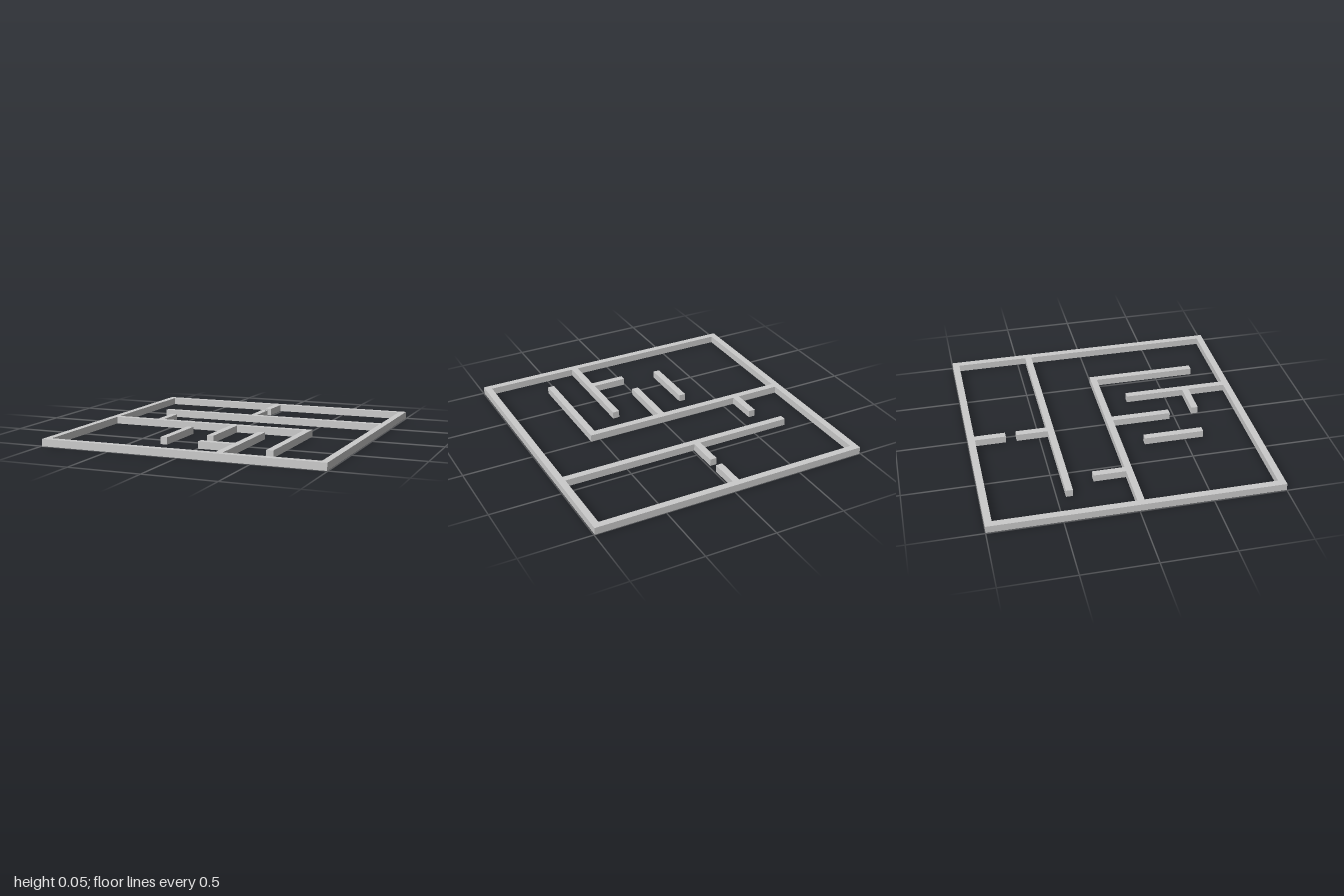
import * as THREE from 'three';

const HEIGHT = 0.05;
const T = 0.048; // wall thickness
const X = 0.995; // outer half width
const Z = 1; // outer half depth

export function createModel() {
  const model = new THREE.Group();
  model.name = 'floorPlanWalls';
  const material = new THREE.MeshStandardMaterial({ color: 0xcccccc, flatShading: true });

  // Wall standing on the ground, given by its plan rectangle
  const wall = (name, x0, x1, z0, z1) => {
    const mesh = new THREE.Mesh(new THREE.BoxGeometry(x1 - x0, HEIGHT, z1 - z0), material);
    mesh.position.set((x0 + x1) / 2, HEIGHT / 2, (z0 + z1) / 2);
    mesh.name = name;
    model.add(mesh);
  };
  const wallAlongX = (name, z, x0, x1) => wall(name, x0, x1, z - T / 2, z + T / 2);
  const wallAlongZ = (name, x, z0, z1) => wall(name, x - T / 2, x + T / 2, z0, z1);

  // Outer frame: one outline with a rectangular opening
  const rectangle = (path, hx, hz) =>
    path.moveTo(-hx, -hz).lineTo(hx, -hz).lineTo(hx, hz).lineTo(-hx, hz).closePath();
  const outline = new THREE.Shape();
  rectangle(outline, X, Z);
  const opening = new THREE.Path();
  rectangle(opening, X - T, Z - T);
  outline.holes.push(opening);
  const frame = new THREE.ExtrudeGeometry(outline, { depth: HEIGHT, bevelEnabled: false });
  frame.rotateX(-Math.PI / 2);
  const outerWalls = new THREE.Mesh(frame, material);
  outerWalls.name = 'outerWalls';
  model.add(outerWalls);

  // Back rooms, with a doorway between the two divider pieces
  wallAlongX('backPartition', -0.415, -0.75, X - T);
  wallAlongZ('backDividerOuter', -0.036, -Z + T, -0.735);
  wallAlongZ('backDividerInner', -0.036, -0.66, -0.415 - T / 2);

  // Middle partition with its branches
  const midZ = 0.018;
  const midEnd = 0.568;
  wallAlongX('middlePartition', midZ, -X + T, midEnd);
  wallAlongZ('corridorStub', -0.606, -0.228, midZ - T / 2);
  wallAlongZ('middleDivider', -0.005, midZ + T / 2, 0.462);
  wallAlongZ('sidePartition', midEnd - T / 2, midZ + T / 2, 0.777);

  // Front rooms
  wallAlongZ('freeStandingWall', -0.271, 0.21, 0.633);
  wallAlongZ('frontDivider', 0.272, 0.21, Z - T);
  wallAlongX('frontDividerBranch', 0.657, 0.003, 0.272 - T / 2);

  return model;
}
